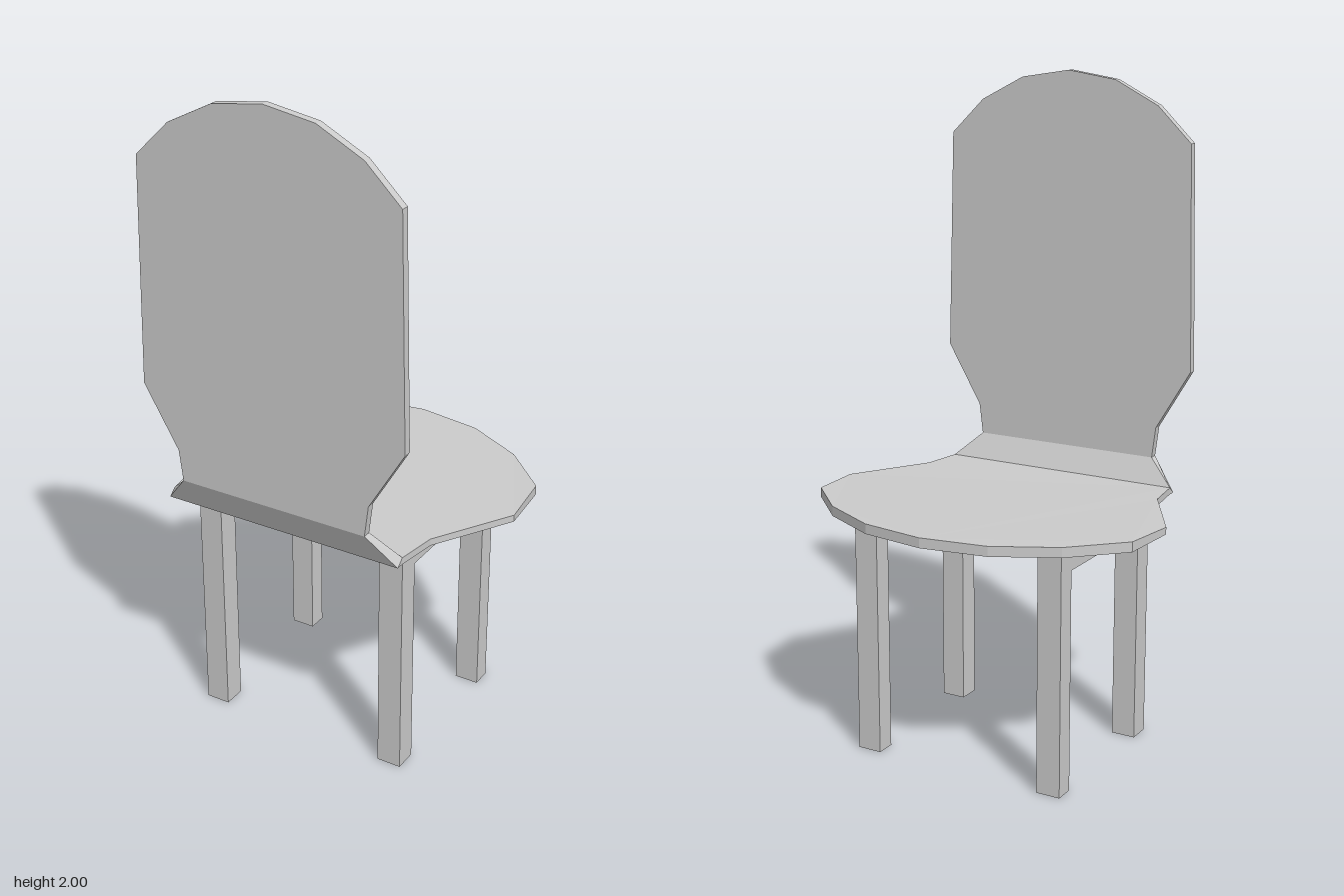
import * as THREE from 'three';

const material = new THREE.MeshStandardMaterial({ color: 0xcccccc, flatShading: true });

// Closed shape from [x, y] points
const polygon = (points) => new THREE.Shape(points.map(([x, y]) => new THREE.Vector2(x, y)));

// Closed shape from its +x half; points on the centre line are not doubled
const mirrored = (half) =>
  polygon([...half, ...half.filter(([x]) => x > 0).reverse().map(([x, y]) => [-x, y])]);

const extrude = (shape, depth) => new THREE.ExtrudeGeometry(shape, { depth, bevelEnabled: false });

// Extrudes a [z, y] profile along x, centred on x = 0
const extrudeAcross = (points, width) =>
  extrude(polygon(points), width).translate(0, 0, -width / 2).rotateY(-Math.PI / 2);

// Moves every vertex by a rule
function warp(geometry, rule) {
  const p = geometry.attributes.position;
  const v = new THREE.Vector3();
  for (let i = 0; i < p.count; i++) {
    rule(v.fromBufferAttribute(p, i));
    p.setXYZ(i, v.x, v.y, v.z);
  }
  geometry.computeVertexNormals();
  return geometry;
}

export function createModel() {
  const chair = new THREE.Group();
  chair.name = 'chair';
  const add = (name, geometry) => {
    const mesh = new THREE.Mesh(geometry, material);
    mesh.name = name;
    chair.add(mesh);
    return mesh;
  };

  // Seat: faceted rounded plate, [x, z] outline, a little thinner towards the rear
  const seatOutline = mirrored([
    [0, -0.436], [0.2, -0.405], [0.38, -0.312], [0.522, -0.172],
    [0.54, 0.007], [0.4, 0.245], [0.382, 0.37],
  ]);
  const seat = extrude(seatOutline, 0.03).rotateX(Math.PI / 2).translate(0, 0.015, 0);
  add('seat', warp(seat, (v) => {
    v.y = 0.76 + v.y * THREE.MathUtils.mapLinear(THREE.MathUtils.clamp(v.z, -0.17, 0.01), -0.17, 0.01, 1, 0.7);
  }));

  // Sloping bend between seat and backrest, narrowing upwards
  const bend = extrudeAcross(
    [[0.37, 0.7705], [0.37, 0.7495], [0.395, 0.7495], [0.435, 0.845], [0.41, 0.845]], 0.764);
  add('bend', warp(bend, (v) => { if (v.y > 0.8) v.x *= 0.3 / 0.382; }));

  // Backrest: flat plate with a waist and a faceted arched top
  const backOutline = mirrored([
    [0.3, 0.845], [0.312, 0.94], [0.422, 1.125], [0.405, 1.8],
    [0.297, 1.905], [0.157, 1.976], [0, 2],
  ]);
  add('backrest', extrude(backOutline, 0.025).translate(0, 0, 0.41));

  // Leg frames: front leg, rear leg and the rail joining them, one on each side
  const legProfile = [
    [-0.25, 0], [-0.19, 0], [-0.19, 0.667], [0.232, 0.667],
    [0.232, 0], [0.302, 0], [0.302, 0.75], [-0.25, 0.75],
  ];
  for (const side of [1, -1]) {
    const frame = add(side > 0 ? 'leftLegFrame' : 'rightLegFrame', extrudeAcross(legProfile, 0.075));
    frame.position.x = side * 0.307;
  }

  return chair;
}
